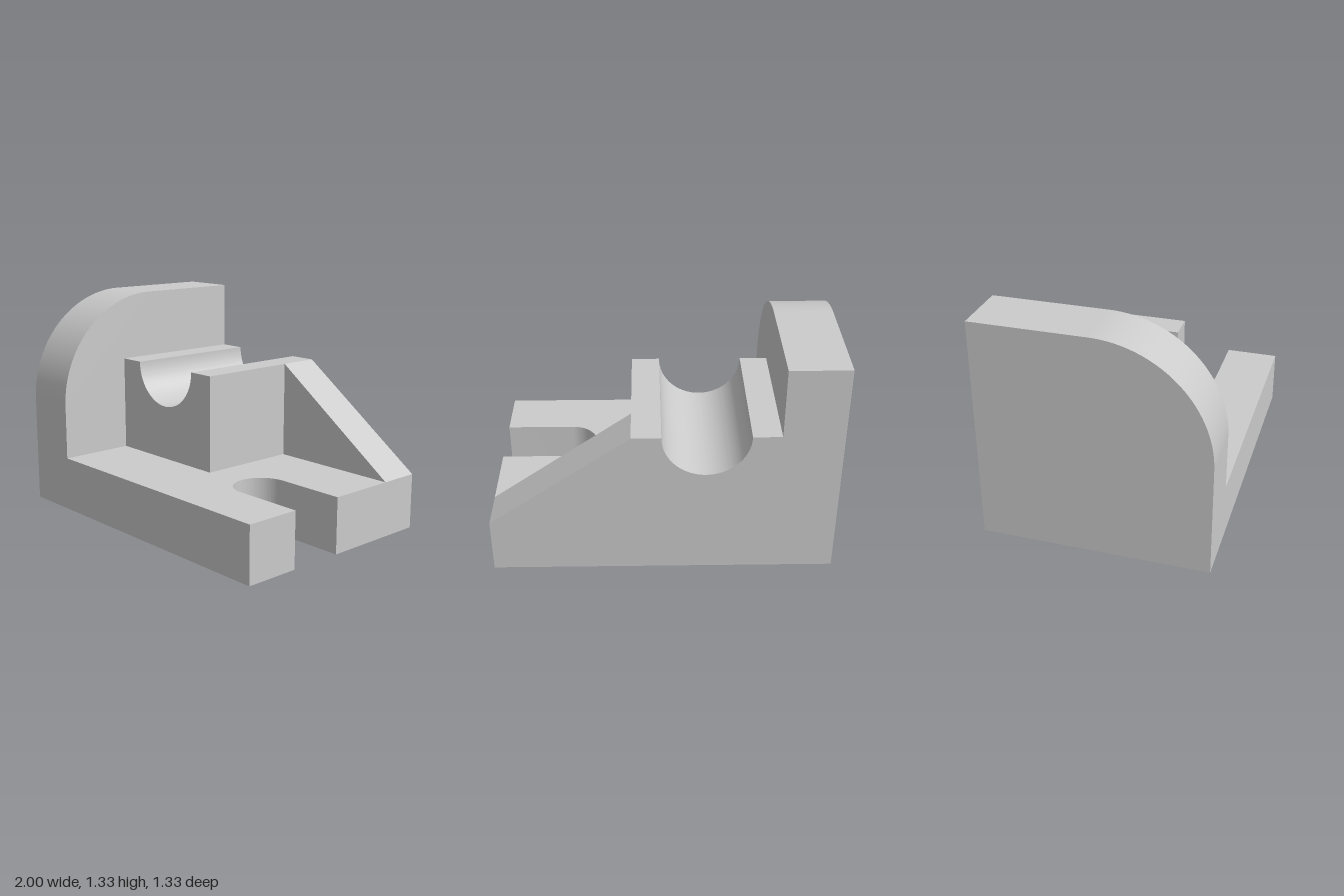
import * as THREE from 'three';
import { toCreasedNormals } from 'three/addons/utils/BufferGeometryUtils.js';

const material = new THREE.MeshStandardMaterial({ color: 0xcccccc });

const DEPTH = 0.667;       // half depth of the bracket
const BASE_TOP = 0.333;
const WALL_X = -0.655;     // inner face of the side wall
const BLOCK_X = 0.178;     // outer face of the saddle block
const BLOCK_TOP = 0.917;

function extrude(shape, depth) {
  const geometry = new THREE.ExtrudeGeometry(shape, { depth, bevelEnabled: false, curveSegments: 40 });
  return toCreasedNormals(geometry, Math.PI / 6);
}

function addPart(group, name, geometry) {
  const mesh = new THREE.Mesh(geometry, material);
  mesh.name = name;
  group.add(mesh);
}

export function createModel() {
  const group = new THREE.Group();
  group.name = 'bracket';

  // Base plate with an open, round-ended slot, drawn in plan (shape y = -z)
  const base = new THREE.Shape();
  base.moveTo(WALL_X, -DEPTH);
  base.lineTo(1, -DEPTH);
  base.lineTo(1, -0.3333);
  base.absarc(0.58, -0.1667, 0.1667, -Math.PI / 2, Math.PI / 2, true);
  base.lineTo(1, 0);
  base.lineTo(1, DEPTH);
  base.lineTo(WALL_X, DEPTH);
  base.closePath();
  addPart(group, 'basePlate', extrude(base, BASE_TOP).rotateX(-Math.PI / 2));

  // Side wall with a rounded upper front corner, drawn in side profile (z, y)
  const wall = new THREE.Shape();
  wall.moveTo(-DEPTH, 0);
  wall.lineTo(DEPTH, 0);
  wall.absarc(0, DEPTH, DEPTH, 0, Math.PI / 2, false);
  wall.lineTo(-DEPTH, 2 * DEPTH);
  wall.closePath();
  addPart(group, 'sideWall', extrude(wall, 1 + WALL_X).rotateY(-Math.PI / 2).translate(WALL_X, 0, 0));

  // Saddle block with a half-round groove along z
  const block = new THREE.Shape();
  block.moveTo(WALL_X, BASE_TOP);
  block.lineTo(BLOCK_X, BASE_TOP);
  block.lineTo(BLOCK_X, BLOCK_TOP);
  block.absarc(-0.24, BLOCK_TOP, 0.25, 0, Math.PI, true);
  block.lineTo(WALL_X, BLOCK_TOP);
  block.closePath();
  addPart(group, 'saddleBlock', extrude(block, 0.875).translate(0, 0, -DEPTH));

  // Triangular rib along the back edge
  const rib = new THREE.Shape();
  rib.moveTo(BLOCK_X, BASE_TOP);
  rib.lineTo(1, BASE_TOP);
  rib.lineTo(BLOCK_X, BLOCK_TOP);
  rib.closePath();
  addPart(group, 'supportRib', extrude(rib, 0.25).translate(0, 0, -DEPTH));

  return group;
}
